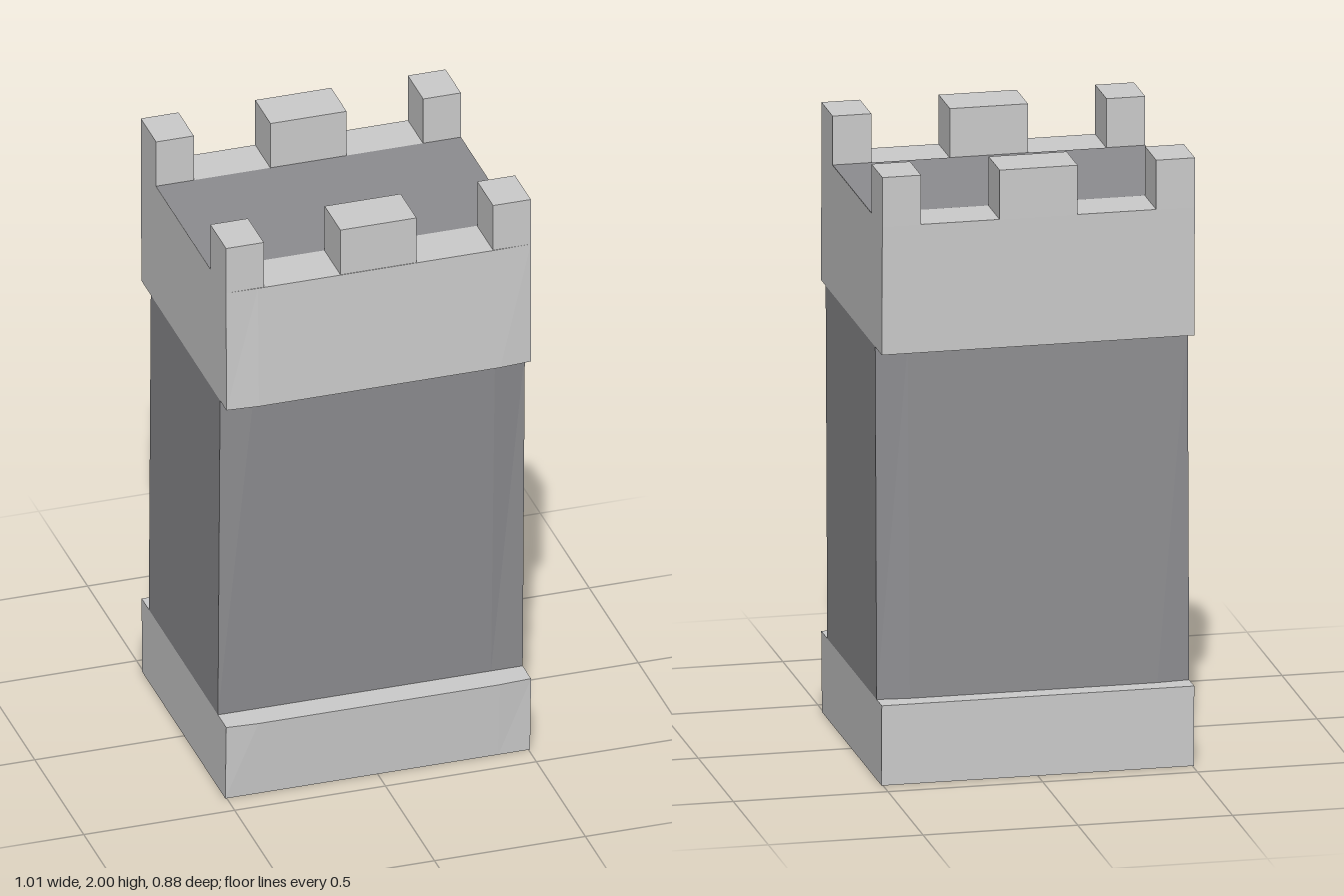
import * as THREE from 'three';

const HALF = 0.505; // half width of the tower
const KINK = 0.4; // where the slightly bowed faces start to turn

const stone = new THREE.MeshStandardMaterial({ color: 0xcccccc, flatShading: true });
const darkStone = new THREE.MeshStandardMaterial({ color: 0x8d8d90, flatShading: true });

// Block whose front and back faces lean and bow.
// low / high: y plus z of the front and back, at the corners and in the middle.
function bowedBlock(name, material, low, high) {
  const geometry = new THREE.BoxGeometry(3, 1, 1, 3, 1, 1);
  const p = geometry.attributes.position;
  for (let i = 0; i < p.count; i++) {
    const level = p.getY(i) > 0 ? high : low;
    const outer = Math.abs(p.getX(i)) > 1;
    const [corner, middle] = p.getZ(i) > 0 ? level.front : level.back;
    p.setXYZ(i, Math.sign(p.getX(i)) * (outer ? HALF : KINK), level.y, outer ? corner : middle);
  }
  const flat = geometry.toNonIndexed();
  flat.computeVertexNormals();
  const mesh = new THREE.Mesh(flat, material);
  mesh.name = name;
  return mesh;
}

function box(name, x0, x1, y0, y1, z0, z1) {
  const mesh = new THREE.Mesh(new THREE.BoxGeometry(x1 - x0, y1 - y0, z1 - z0), stone);
  mesh.position.set((x0 + x1) / 2, (y0 + y1) / 2, (z0 + z1) / 2);
  mesh.name = name;
  return mesh;
}

export function createModel() {
  const tower = new THREE.Group();
  tower.name = 'tower';

  // Plinth, shaft and overhanging crown
  tower.add(
    bowedBlock('base', stone,
      { y: 0, front: [0.42, 0.42], back: [-0.43, -0.43] },
      { y: 0.263, front: [0.43, 0.437], back: [-0.433, -0.433] }),
    bowedBlock('shaft', darkStone,
      { y: 0.263, front: [0.345, 0.345], back: [-0.36, -0.37] },
      { y: 1.415, front: [0.367, 0.385], back: [-0.34, -0.34] }),
    bowedBlock('crown', stone,
      { y: 1.415, front: [0.432, 0.44], back: [-0.435, -0.435] },
      { y: 1.838, front: [0.428, 0.43], back: [-0.441, -0.441] })
  );

  // Dark roof deck between the two battlement rows
  const deck = new THREE.Mesh(new THREE.PlaneGeometry(2 * HALF, 0.552), darkStone);
  deck.rotation.x = -Math.PI / 2;
  deck.position.set(0, 1.8395, -0.009);
  deck.name = 'roofDeck';
  tower.add(deck);

  // Battlements: two corner posts and a wide middle one on each row
  const rows = [['front', 0.267, 0.428], ['back', -0.285, -0.442]];
  const spans = [['Right', -HALF, -0.38], ['Middle', -0.126, 0.126], ['Left', 0.38, HALF]];
  for (const [row, inner, outer] of rows) {
    for (const [side, x0, x1] of spans) {
      tower.add(box(`${row}${side}Merlon`, x0, x1, 1.838, 2,
        Math.min(inner, outer), Math.max(inner, outer)));
    }
  }
  return tower;
}
